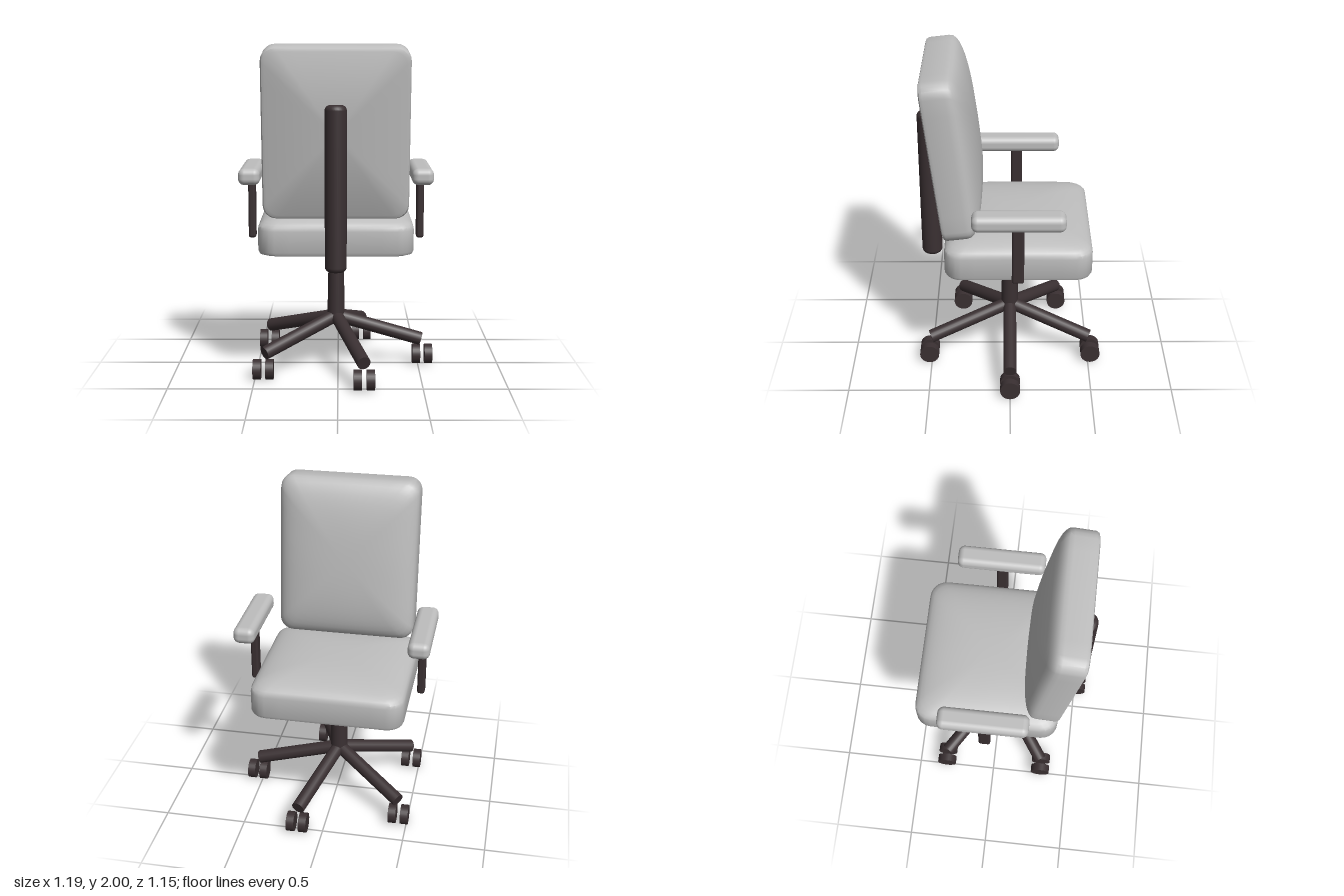
import * as THREE from 'three';
import { toCreasedNormals } from 'three/addons/utils/BufferGeometryUtils.js';
import { RoundedBoxGeometry } from 'three/addons/geometries/RoundedBoxGeometry.js';

const upholstery = new THREE.MeshStandardMaterial({ name: 'grey upholstery', color: 0xbebebe });
const frame = new THREE.MeshStandardMaterial({ name: 'dark frame', color: 0x3a3032 });

// Rounded rectangle in x/z, with its straight sides subdivided
function outline(hw, hd, r) {
  const corners = [[1, 1, 0], [-1, 1, 1], [-1, -1, 2], [1, -1, 3]];
  const raw = [];
  for (const [sx, sz, q] of corners) {
    for (let i = 0; i <= 5; i++) {
      const a = (q + i / 5) * Math.PI / 2;
      raw.push(new THREE.Vector2(sx * (hw - r) + r * Math.cos(a), sz * (hd - r) + r * Math.sin(a)));
    }
  }
  const pts = [];
  raw.forEach((p, i) => {
    const next = raw[(i + 1) % raw.length];
    const n = p.distanceTo(next) > 0.15 ? 8 : 1;
    for (let k = 0; k < n; k++) pts.push(p.clone().lerp(next, k / n));
  });
  return pts;
}

// Padded cushion: a flat slab with a bevelled underside and a domed top
function cushion(w, d, r, slab, dome) {
  const hw = w / 2, hd = d / 2, bevel = 0.025, steps = 12;
  const base = outline(hw, hd, r), n = base.length;
  const loops = [];
  const inset = (b, y) => loops.push(base.map(p => [p.x * (1 - b / hw), y, p.y * (1 - b / hd)]));
  inset(bevel, 0);
  inset(bevel * 0.3, bevel * 0.3);
  inset(0, bevel);
  inset(0, slab);
  // Dome loops shrink inwards and become more elliptical
  for (let i = 1; i < steps; i++) {
    const s = 1 - (i / steps) ** 2;
    const y = slab + dome * (1 - s ** 2.5) ** 0.4;
    loops.push(base.map(p => {
      const a = Math.atan2(p.y / hd, p.x / hw);
      return [
        s * THREE.MathUtils.lerp(hw * Math.cos(a), p.x, s), y,
        s * THREE.MathUtils.lerp(hd * Math.sin(a), p.y, s),
      ];
    }));
  }
  const pos = loops.flat(2), index = [];
  for (let l = 0; l < loops.length - 1; l++) {
    for (let i = 0; i < n; i++) {
      const a = l * n + i, b = l * n + (i + 1) % n;
      index.push(a, a + n, b, b, a + n, b + n);
    }
  }
  // Close the underside and the crown
  const bottom = loops.length * n, crown = bottom + 1, last = bottom - n;
  pos.push(0, 0, 0, 0, slab + dome, 0);
  for (let i = 0; i < n; i++) {
    const j = (i + 1) % n;
    index.push(bottom, i, j, crown, last + j, last + i);
  }
  const g = new THREE.BufferGeometry();
  g.setAttribute('position', new THREE.Float32BufferAttribute(pos, 3));
  g.setIndex(index);
  return toCreasedNormals(g, 0.6);
}

// Upright rod with softened ends
function rod(r, h, soft) {
  const pts = [new THREE.Vector2(0, 0)];
  for (let i = 0; i <= 4; i++) {
    const a = i / 4 * Math.PI / 2;
    pts.push(new THREE.Vector2(r - soft + soft * Math.sin(a), soft - soft * Math.cos(a)));
  }
  for (let i = 0; i <= 4; i++) {
    const a = i / 4 * Math.PI / 2;
    pts.push(new THREE.Vector2(r - soft + soft * Math.cos(a), h - soft + soft * Math.sin(a)));
  }
  pts.push(new THREE.Vector2(0, h));
  return new THREE.LatheGeometry(pts, 28);
}

export function createModel() {
  const model = new THREE.Group();
  model.name = 'officeChair';
  const chair = new THREE.Group();
  chair.name = 'chair';
  chair.position.x = -0.012;
  model.add(chair);

  const add = (name, geometry, material, x, y, z) => {
    const mesh = new THREE.Mesh(geometry, material);
    mesh.name = name;
    mesh.position.set(x, y, z);
    chair.add(mesh);
    return mesh;
  };

  // Cushions
  add('seat', cushion(0.92, 0.88, 0.1, 0.15, 0.105), upholstery, 0, 0.765, -0.05);
  const back = add('backrest', cushion(0.85, 1.0, 0.08, 0.145, 0.125), upholstery, 0, 1.485, 0.45);
  back.rotation.x = -Math.PI / 2 + 0.117;

  // Back support and central column
  add('backPost', rod(0.063, 0.96, 0.03), frame, 0, 0.7, 0.485);
  add('column', new THREE.CylinderGeometry(0.045, 0.055, 0.5, 24), frame, 0, 0.53, 0);

  // Arms
  for (const side of [-1, 1]) {
    const name = side > 0 ? 'left' : 'right';
    add(name + 'Armrest', new RoundedBoxGeometry(0.13, 0.1, 0.54, 4, 0.038), upholstery, side * 0.519, 1.21, -0.05);
    add(name + 'ArmPost', new RoundedBoxGeometry(0.046, 0.39, 0.072, 3, 0.015), frame, side * 0.519, 0.995, -0.046);
  }

  // Five-legged base with twin-wheel casters
  const up = new THREE.Vector3(0, 1, 0);
  for (let i = 0; i < 5; i++) {
    const a = i * Math.PI * 2 / 5, c = Math.cos(a), s = Math.sin(a);
    const start = new THREE.Vector3(0, 0.31, 0);
    const end = new THREE.Vector3(0.53 * c, 0.158, 0.53 * s);
    const dir = end.clone().sub(start);
    const mid = start.clone().add(end).multiplyScalar(0.5);
    const leg = add('baseLeg', new THREE.CylinderGeometry(0.041, 0.041, dir.length(), 20), frame, mid.x, mid.y, mid.z);
    leg.quaternion.setFromUnitVectors(up, dir.normalize());
    for (const side of [-1, 1]) {
      const wheel = add('casterWheel', new THREE.CylinderGeometry(0.061, 0.061, 0.048, 28), frame,
        0.54 * c + side * 0.038, 0.061, 0.54 * s);
      wheel.rotation.z = Math.PI / 2;
    }
  }
  return model;
}
